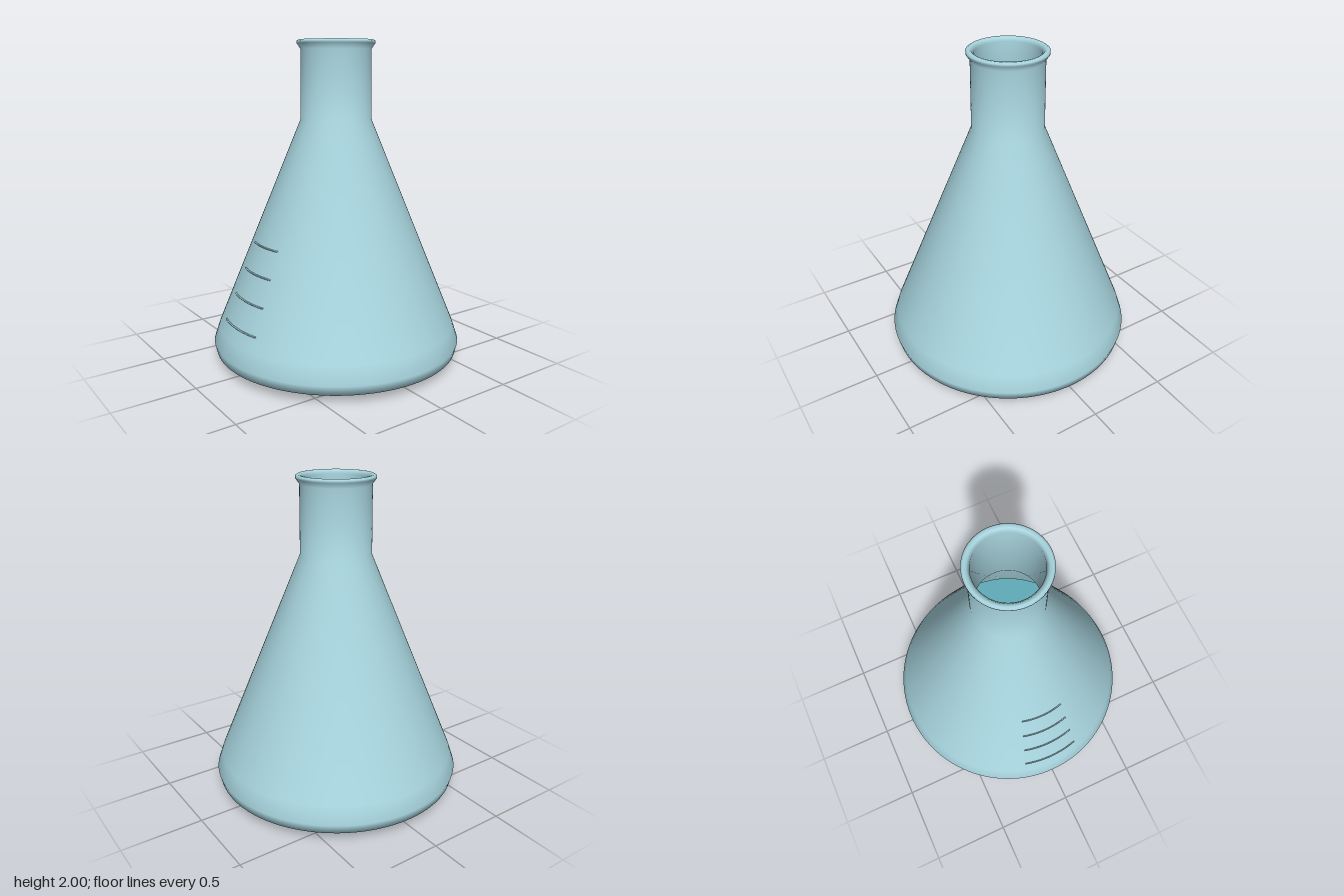
import * as THREE from 'three';

const glass = new THREE.MeshStandardMaterial({ name: 'pale blue glass', color: 0xa9d6e0 });
const teal = new THREE.MeshStandardMaterial({ name: 'teal liquid', color: 0x5fadb9 });

const lathe = (name, points, material) => {
  const profile = points.map(([r, y]) => new THREE.Vector2(r, y));
  const mesh = new THREE.Mesh(new THREE.LatheGeometry(profile, 96), material);
  mesh.name = name;
  return mesh;
};

// Outer radius of the conical wall at height y
const wallRadius = (y) => 0.755 + (0.22 - 0.755) * (y - 0.22) / (1.52 - 0.22);

export function createModel() {
  const flask = new THREE.Group();
  flask.name = 'conicalFlask';

  // Hollow vessel: up the outside, over the lip and down the inside
  flask.add(lathe('glassVessel', [
    [0, 0], [0.66, 0], [0.775, 0.055], [0.79, 0.115], [0.755, 0.22],
    [0.22, 1.52], [0.217, 1.945], [0.24, 1.978], [0.24, 1.992], [0.228, 2],
    [0.21, 1.997], [0.195, 1.975], [0.195, 1.52],
    [0.725, 0.22], [0.76, 0.115], [0.745, 0.075], [0.65, 0.03], [0, 0.03],
  ], glass));

  // Liquid with a flat surface, fitted inside the wall
  const level = 0.62;
  const surface = wallRadius(level) - 0.034;
  flask.add(lathe('liquid', [
    [0, 0.035], [0.645, 0.035], [0.74, 0.08], [0.755, 0.115], [0.72, 0.22], [surface, level],
  ], teal));
  const top = new THREE.Mesh(new THREE.CircleGeometry(surface, 96), teal);
  top.name = 'liquidSurface';
  top.rotation.x = -Math.PI / 2;
  top.position.y = level;
  flask.add(top);

  // Curved graduation marks on the front
  const marks = new THREE.Group();
  marks.name = 'graduationMarks';
  const arc = 0.526;
  for (let i = 0; i < 4; i++) {
    const y = 0.305 + i * 0.157;
    const geometry = new THREE.TorusGeometry(wallRadius(y) + 0.004, 0.005, 8, 24, arc);
    geometry.rotateZ(Math.PI / 2 - arc / 2).rotateX(Math.PI / 2);
    const mark = new THREE.Mesh(geometry, glass);
    mark.name = 'graduationMark';
    mark.position.y = y;
    marks.add(mark);
  }
  flask.add(marks);
  return flask;
}
